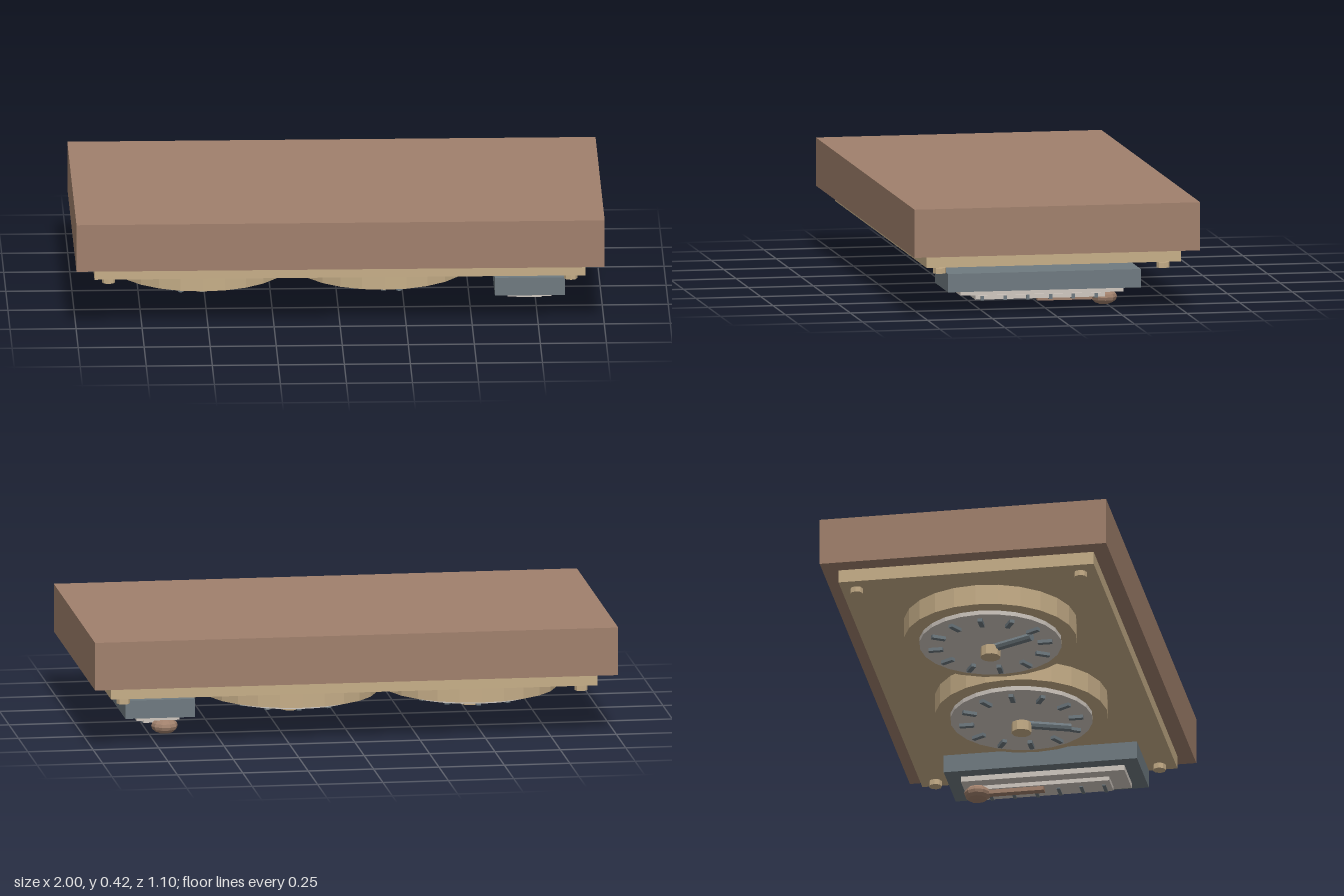
import * as THREE from 'three';

export function createModel() {
  const model = new THREE.Group();
  model.name = 'instrumentPanel';

  const mat = (name, color) => {
    const m = new THREE.MeshStandardMaterial({ color, flatShading: true });
    m.name = name;
    return m;
  };
  const wood = mat('wood', 0xa0806c);
  const brass = mat('brass', 0xc6ae88);
  const slate = mat('slate', 0x6f7a80);
  const cream = mat('cream', 0xcfc7bf);

  const add = (parent, name, geometry, material, x, y, z) => {
    const mesh = new THREE.Mesh(geometry, material);
    mesh.name = name;
    mesh.position.set(x, y, z);
    parent.add(mesh);
    return mesh;
  };
  // Box and upright cylinder given by their bottom and top heights
  const box = (parent, name, material, w, d, y0, y1, x = 0, z = 0) =>
    add(parent, name, new THREE.BoxGeometry(w, y1 - y0, d), material, x, (y0 + y1) / 2, z);
  const disc = (parent, name, material, r, sides, y0, y1, x = 0, z = 0) =>
    add(parent, name, new THREE.CylinderGeometry(r, r, y1 - y0, sides), material, x, (y0 + y1) / 2, z);

  // Backing slab and face plate
  box(model, 'woodSlab', wood, 2, 1.1, 0.24, 0.424);
  box(model, 'facePlate', brass, 1.86, 0.98, 0.19, 0.24);

  // Corner screws
  for (const x of [-0.875, 0.875])
    for (const z of [-0.43, 0.43]) disc(model, 'screw', brass, 0.025, 8, 0.162, 0.183, x, z);

  // Round gauges facing down
  const gauge = (name, x, needleAngle) => {
    const g = new THREE.Group();
    g.name = name;
    g.position.set(x, 0, 0.022);
    model.add(g);
    disc(g, 'bezel', brass, 0.328, 24, 0.098, 0.178);
    disc(g, 'dial', cream, 0.27, 24, 0.081, 0.098);

    // Twelve hour-like marks
    for (let i = 0; i < 12; i++) {
      const a = (i * Math.PI) / 6;
      const tick = box(g, 'dialMark', slate, 0.055, 0.018, 0.068, 0.081, 0.21 * Math.cos(a), 0.21 * Math.sin(a));
      tick.rotation.y = -a;
    }

    // Needle and hub
    const length = 0.19;
    const a = THREE.MathUtils.degToRad(needleAngle);
    const rod = new THREE.CylinderGeometry(0.016, 0.016, length, 8).rotateZ(Math.PI / 2);
    const needle = add(g, 'needle', rod, slate, (length / 2) * Math.cos(a), 0.063, (length / 2) * Math.sin(a));
    needle.rotation.y = -a;
    disc(g, 'hub', brass, 0.038, 10, 0.027, 0.066);
  };
  gauge('rightGauge', -0.515, 115);
  gauge('leftGauge', 0.172, 71);

  // Lever unit: housing, plate, scale with marks, arm and knob
  const lever = new THREE.Group();
  lever.name = 'leverUnit';
  lever.position.set(0.722, 0, 0.022);
  model.add(lever);
  box(lever, 'housing', slate, 0.266, 0.742, 0.084, 0.154);
  box(lever, 'leverPlate', cream, 0.165, 0.628, 0.063, 0.084);
  box(lever, 'scaleStrip', cream, 0.095, 0.5, 0.041, 0.057);
  for (let i = 0; i < 6; i++)
    box(lever, 'scaleMark', slate, 0.064, 0.013, 0.037, 0.055, 0.018, 0.223 - i * 0.0875);
  box(lever, 'leverArm', wood, 0.03, 0.24, 0.022, 0.038, -0.032, -0.122);
  const knob = add(lever, 'leverKnob', new THREE.SphereGeometry(0.051, 10, 8), wood, -0.032, 0.031, -0.259);
  knob.scale.y = 0.6;

  return model;
}
